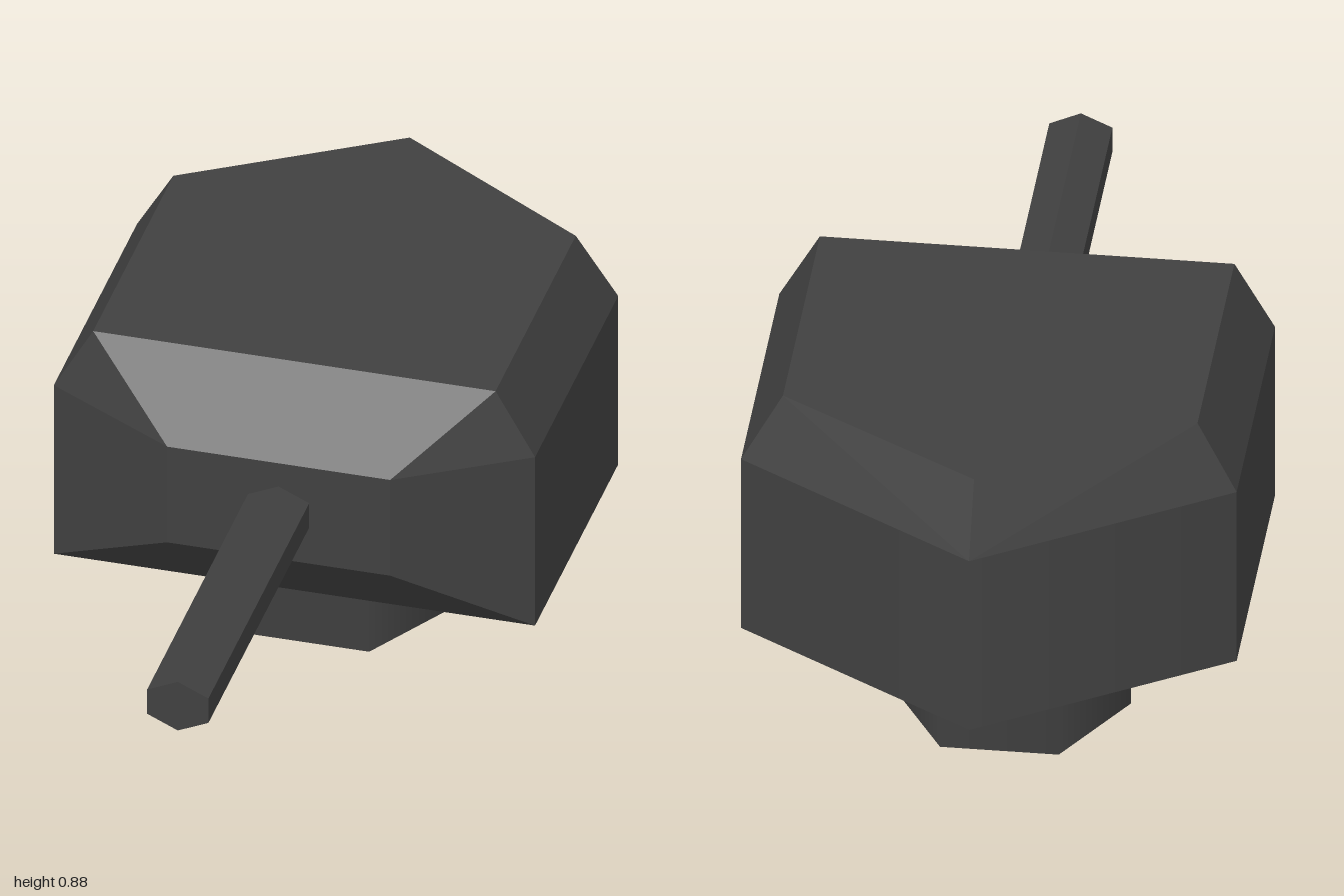
import * as THREE from 'three';
import { ConvexGeometry } from 'three/addons/geometries/ConvexGeometry.js';

const material = new THREE.MeshStandardMaterial({ color: 0x404040 });
const flatMaterial = new THREE.MeshStandardMaterial({ color: 0x404040, flatShading: true });

// Faceted shell; each outline holds the [x, z] points of one half at height y
function headGeometry() {
  const sections = [
    { y: 0.28, half: [[0.55, 0.04], [0.55, -0.645], [0, -1]] },
    { y: 0.44, half: [[0.255, 0.17]] },
    { y: 0.69, half: [[0.255, 0.17]] },
    { y: 0.72, half: [[0.55, 0.04], [0.55, -0.645], [0, -1]] },
    { y: 0.877, half: [[0.46, 0.04], [0.46, -0.62], [0, -0.91]] },
  ];
  const points = [];
  for (const { y, half } of sections) {
    for (const [x, z] of half) {
      points.push(new THREE.Vector3(x, y, z));
      if (x > 0) points.push(new THREE.Vector3(-x, y, z));
    }
  }
  const geometry = new ConvexGeometry(points);

  // Soften the upright edge where the two rear walls meet
  const { position, normal } = geometry.attributes;
  for (let i = 0; i < position.count; i++) {
    if (position.getZ(i) < -0.99 && Math.abs(normal.getY(i)) < 0.01) normal.setXYZ(i, 0, 0, -1);
  }
  return geometry;
}

export function createModel() {
  const group = new THREE.Group();
  const add = (name, geometry, mat) => {
    const mesh = new THREE.Mesh(geometry, mat);
    mesh.name = name;
    group.add(mesh);
    return mesh;
  };

  // Armoured head
  add('turretHead', headGeometry(), material);

  // Six-sided pedestal, set slightly off centre
  const pedestal = new THREE.CylinderGeometry(0.2635, 0.2635, 0.28, 6);
  pedestal.rotateY(Math.PI / 2);
  add('pedestal', pedestal, material).position.set(-0.0225, 0.14, -0.41);

  // Six-sided barrel, a little wider than tall
  const barrel = new THREE.CylinderGeometry(0.0635, 0.0635, 0.85, 6);
  barrel.rotateX(Math.PI / 2);
  barrel.scale(1.273, 1, 1);
  add('barrel', barrel, flatMaterial).position.set(0, 0.566, 0.575);

  return group;
}
